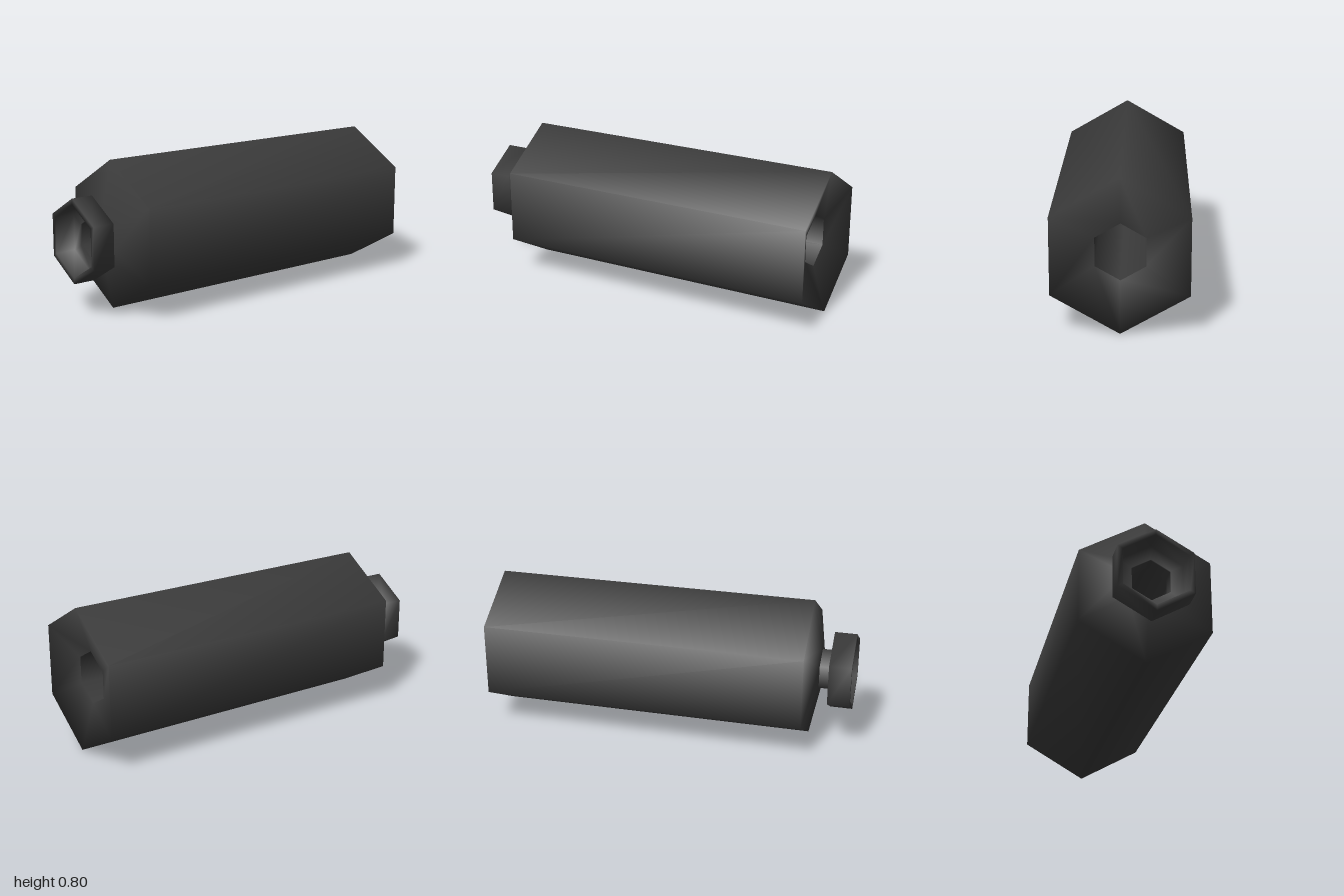
import * as THREE from 'three';

const steel = new THREE.MeshStandardMaterial({ color: 0x3c3c3c });
steel.name = 'dark steel';

// Six-sided smooth lathe part lying along x; the profile is a list of [x, radius]
function hexPart(name, profile) {
  const points = profile.map(([x, r]) => new THREE.Vector2(r, x));
  const geometry = new THREE.LatheGeometry(points, 6, Math.PI / 2);
  geometry.rotateZ(-Math.PI / 2);
  const mesh = new THREE.Mesh(geometry, steel);
  mesh.name = name;
  return mesh;
}

export function createModel() {
  const group = new THREE.Group();
  group.name = 'hexagonalTube';

  const R = 0.399;      // outer body
  const bore = 0.147;   // inside of the body
  const neckOut = 0.119, neckIn = 0.115;

  group.add(
    // Tapered shoulder, long body and dished far end
    hexPart('body', [[-0.82, neckOut], [-0.765, R], [1, R], [0.925, bore]]),
    // Through passage with a step down to the neck
    hexPart('bore', [[0.925, bore], [-0.8, bore]]),
    hexPart('boreStep', [[-0.8, bore], [-0.8, neckIn]]),
    hexPart('neckInside', [[-0.8, neckIn], [-0.88, neckIn]]),
    // Narrow neck between shoulder and collar
    hexPart('neck', [[-0.88, neckOut], [-0.82, neckOut]]),
    // Cupped collar with a thin rim
    hexPart('collar', [
      [-0.88, neckIn], [-0.89, neckIn], [-0.89, 0.19], [-1, 0.195],
      [-1, 0.226], [-0.88, 0.226], [-0.88, neckOut],
    ]),
  );

  group.position.y = R;
  return group;
}
